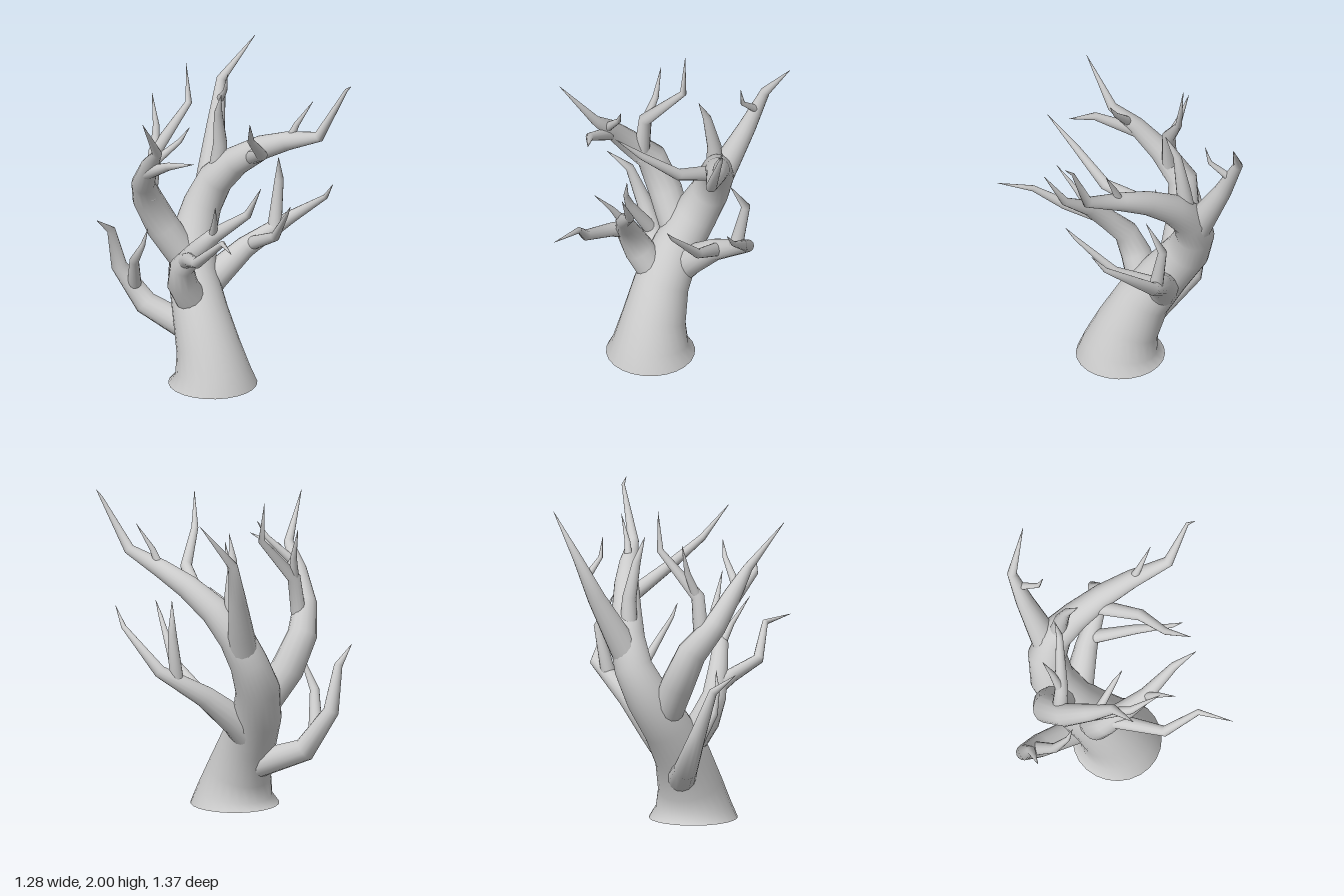
import * as THREE from 'three';

const material = new THREE.MeshStandardMaterial({ color: 0xcccccc });

// Tapered limb: one ring per [x, y, z, radius] point, closed at the start, pointed at the end.
function limbGeometry(path, sides) {
  const pts = path.map(p => new THREE.Vector3(p[0], p[1], p[2]));
  const last = pts.length - 1;
  const pos = [], index = [];
  const normal = new THREE.Vector3(1, 0, 0);
  pts.forEach((p, i) => {
    const before = pts[Math.max(i, 1)].clone().sub(pts[Math.max(i, 1) - 1]).normalize();
    const j = Math.min(i, last - 1);
    const after = pts[j + 1].clone().sub(pts[j]).normalize();
    const tangent = before.add(after).normalize();
    // Carry the ring direction along the path so that the limb does not twist
    normal.addScaledVector(tangent, -normal.dot(tangent)).normalize();
    const side = tangent.clone().cross(normal);
    const r = Math.max(path[i][3], 0.001);
    for (let k = 0; k < sides; k++) {
      const a = k / sides * Math.PI * 2;
      const v = p.clone().addScaledVector(normal, Math.cos(a) * r).addScaledVector(side, Math.sin(a) * r);
      pos.push(v.x, v.y, v.z);
      if (i < last) {
        const n = (k + 1) % sides;
        const a0 = i * sides + k, b0 = i * sides + n;
        index.push(a0, b0, a0 + sides, b0, b0 + sides, a0 + sides);
      }
    }
  });
  // Flat start cap with its own vertices
  const first = pos.length / 3;
  pos.push(...pos.slice(0, sides * 3));
  for (let k = 1; k < sides - 1; k++) index.push(first, first + k + 1, first + k);
  const g = new THREE.BufferGeometry();
  g.setAttribute('position', new THREE.Float32BufferAttribute(pos, 3));
  g.setIndex(index);
  g.computeVertexNormals();
  return g;
}

const limbs = {
  // Trunk, sweeping back, then over to the front left
  trunk: [[-.06, 0, -.025, .276], [-.06, .08, -.025, .234], [-.06, .22, -.075, .2], [-.053, .42, -.175, .173],
    [-.015, .62, -.315, .152], [.065, .82, -.425, .138], [.15, 1.0, -.45, .12], [.215, 1.17, -.4, .11],
    [.28, 1.32, -.27, .092], [.36, 1.45, -.1, .075], [.43, 1.54, .08, .058], [.505, 1.63, .31, .034],
    [.63, 1.955, .43, .01], [.632, 1.995, .48, 0]],
  trunkTwig: [[.43, 1.53, .08, .03], [.46, 1.66, .13, .018], [.535, 1.82, .2, 0]],
  trunkForwardBranch: [[.32, 1.375, -.16, .05], [.2, 1.515, .13, .036], [.02, 1.7, .28, .022], [-.09, 1.89, .43, 0]],
  trunkUpperBranch: [[.21, 1.18, -.39, .058], [.22, 1.42, -.36, .044], [.185, 1.64, -.33, .026], [.16, 1.79, -.26, 0]],

  // Back left branch
  backLeftBranch: [[.17, 1.02, -.43, .095], [.24, 1.2, -.49, .083], [.34, 1.45, -.585, .056], [.43, 1.7, -.66, .03], [.632, 1.97, -.585, 0]],
  backLeftTwig: [[.39, 1.58, -.62, .025], [.35, 1.69, -.5, .014], [.35, 1.81, -.47, 0]],

  // Upper right bough and its branches
  rightBough: [[-.03, .7, -.36, .1], [-.15, .92, -.445, .104], [-.255, 1.13, -.462, .093], [-.36, 1.29, -.35, .073],
    [-.415, 1.47, -.2, .055], [-.45, 1.61, -.06, .03], [-.64, 1.89, .06, 0]],
  rightBoughUpright: [[-.29, 1.16, -.39, .05], [-.255, 1.47, -.375, .042], [0, 1.74, -.38, .021], [0, 1.99, -.41, 0]],
  rightBoughUprightTwig: [[-.255, 1.46, -.38, .03], [-.21, 1.62, -.43, .02], [-.2, 1.81, -.49, 0]],
  rightBoughInnerTwig: [[-.42, 1.5, -.16, .03], [-.29, 1.66, -.05, .016], [-.25, 1.76, 0, 0]],
  rightBoughFrontTwig: [[-.41, 1.41, -.24, .045], [-.44, 1.56, .05, .025], [-.37, 1.62, .23, 0]],

  // Front right branch
  frontRightBranch: [[-.1, .49, -.18, .1], [-.2, .65, -.155, .095], [-.238, .79, -.1, .076], [-.205, .94, .03, .062],
    [-.165, 1.07, .15, .048], [-.04, 1.24, .33, .026], [-.03, 1.46, .465, 0]],
  frontRightTwig: [[-.17, 1.06, .14, .03], [-.21, 1.19, .22, .017], [-.28, 1.345, .33, 0]],
  frontRightReach: [[-.23, .83, -.08, .052], [-.29, .9, .05, .044], [-.37, .97, .26, .034], [-.32, 1.16, .47, .019], [-.395, 1.18, .68, 0]],

  // Lower left branch
  lowerLeftBranch: [[.03, .5, -.265, .098], [.1, .585, -.26, .096], [.3, .76, -.2, .068], [.57, .94, -.09, .04], [.615, 1.17, .22, .016], [.61, 1.285, .31, 0]],
  lowerLeftUpright: [[.47, .88, -.13, .045], [.525, 1.18, -.16, .028], [.46, 1.37, -.07, 0]],
  lowerLeftFrontTwig: [[.33, .78, -.19, .045], [.32, .93, .1, .03], [.25, 1.17, .33, .012], [.24, 1.25, .39, 0]],

  // Lower back branch
  lowerBackBranch: [[-.06, .27, -.2, .09], [-.235, .405, -.51, .074], [-.365, .65, -.61, .05], [-.45, .92, -.57, .027], [-.585, 1.03, -.53, 0]],
  lowerBackTwig: [[-.29, .51, -.55, .045], [-.38, .75, -.42, .03], [-.37, .88, -.34, .016], [-.35, 1.0, -.31, 0]],
};

export function createModel() {
  const tree = new THREE.Group();
  tree.name = 'bareTree';
  for (const [name, path] of Object.entries(limbs)) {
    const mesh = new THREE.Mesh(limbGeometry(path, name === 'trunk' ? 24 : 14), material);
    mesh.name = name;
    tree.add(mesh);
  }
  return tree;
}
